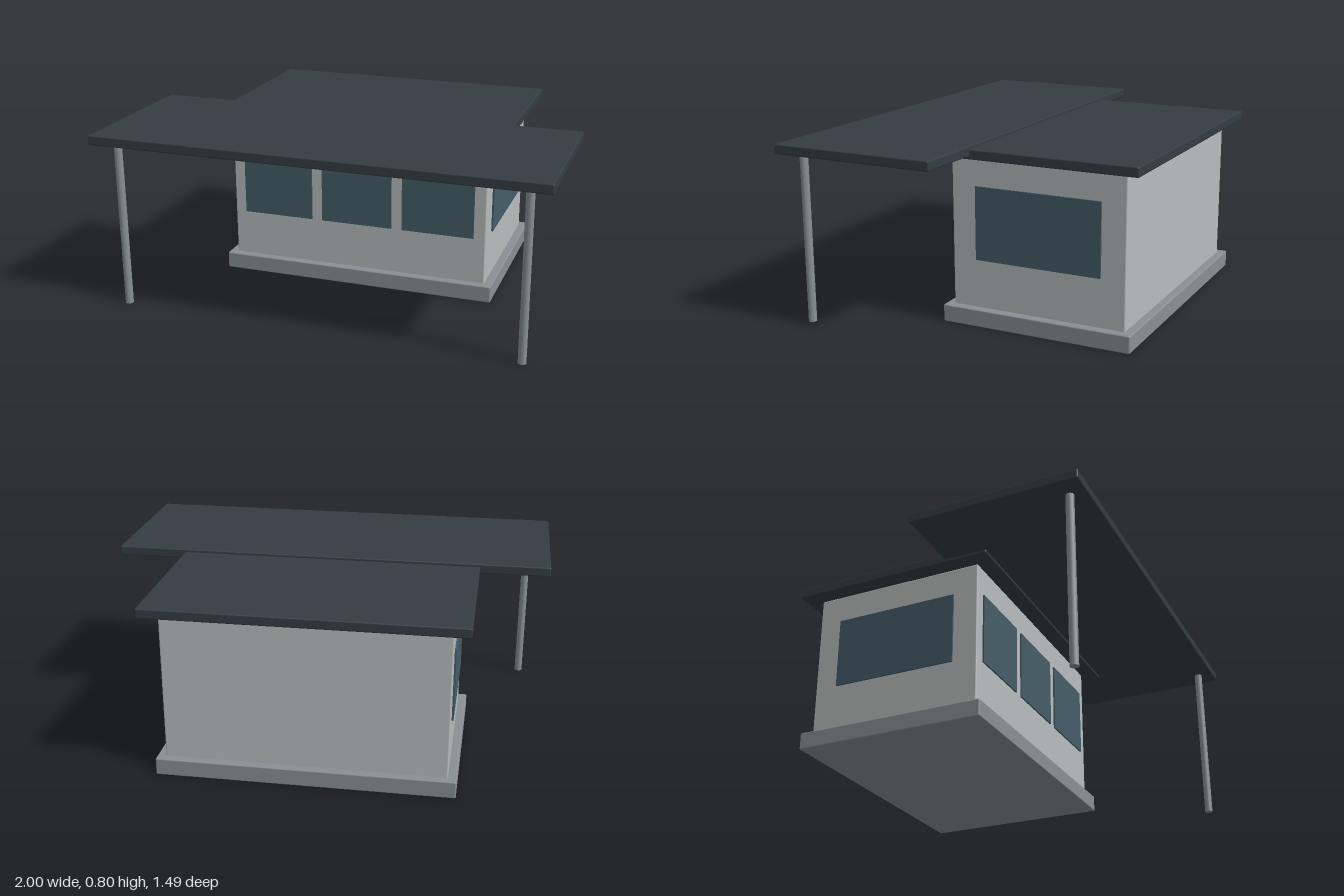
import * as THREE from 'three';
import { RoundedBoxGeometry } from 'three/addons/geometries/RoundedBoxGeometry.js';

const material = (color) => new THREE.MeshStandardMaterial({ color });

export function createModel() {
  const model = new THREE.Group();
  model.name = 'kiosk';
  const wallPaint = material(0xb9bdbd);
  const concrete = material(0x899094);
  const roofing = material(0x343d43);
  const glass = material(0x455d69);
  const steel = material(0x899094);

  const add = (name, geometry, mat, x, y, z) => {
    const mesh = new THREE.Mesh(geometry, mat);
    mesh.name = name;
    mesh.position.set(x, y, z);
    model.add(mesh);
  };

  // Slab given by its width, vertical range and depth range, with softened edges
  const slab = (name, mat, width, y0, y1, z0, z1) =>
    add(name, new RoundedBoxGeometry(width, y1 - y0, z1 - z0, 2, 0.006),
      mat, 0, (y0 + y1) / 2, (z0 + z1) / 2);

  // Building body
  slab('plinth', concrete, 1.3, 0, 0.077, -0.71, 0.16);
  slab('walls', wallPaint, 1.224, 0.07, 0.743, -0.673, 0.125);
  slab('roof', roofing, 1.37, 0.742, 0.785, -0.747, 0.198);

  // Forecourt canopy, lapping over the front of the roof
  slab('canopy', roofing, 2, 0.755, 0.798, 0, 0.747);

  // Front windows
  for (const x of [-0.388, 0, 0.388]) {
    add('frontWindow', new THREE.BoxGeometry(0.338, 0.323, 0.016), glass, x, 0.452, 0.124);
  }

  // Side windows and canopy posts, mirrored
  for (const side of [-1, 1]) {
    add('sideWindow', new THREE.BoxGeometry(0.016, 0.323, 0.576), glass, side * 0.612, 0.452, -0.276);
    add('canopyPost', new THREE.CylinderGeometry(0.018, 0.018, 0.757, 20), steel, side * 0.9, 0.3785, 0.674);
  }
  return model;
}
